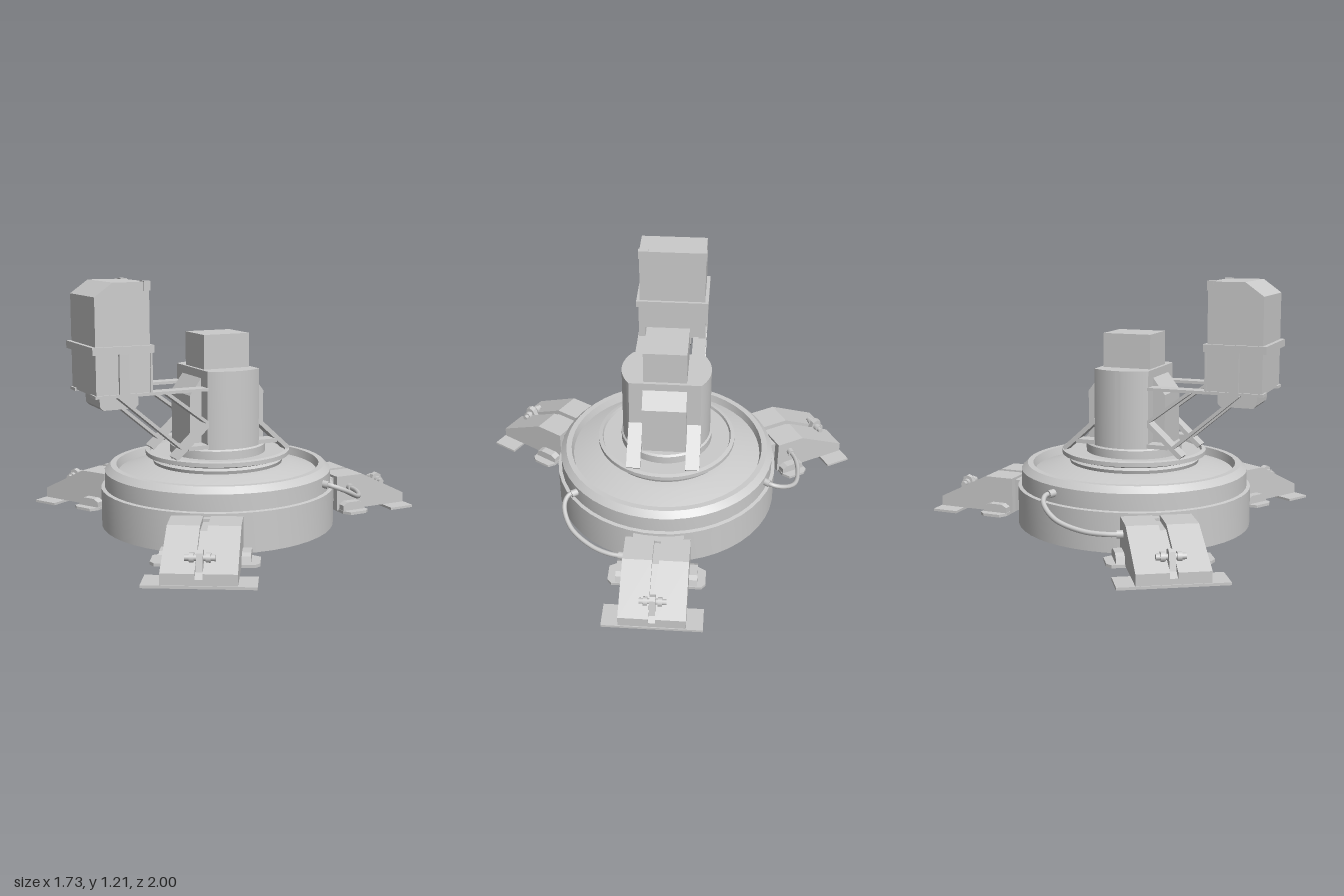
import * as THREE from 'three';
import { toCreasedNormals } from 'three/addons/utils/BufferGeometryUtils.js';

const CX = -0.152; // axis of the round base
const grey = new THREE.MeshStandardMaterial({ color: 0xcccccc, side: THREE.DoubleSide });

function add(parent, name, geo, x = 0, y = 0, z = 0) {
  const mesh = new THREE.Mesh(geo, grey);
  mesh.name = name;
  mesh.position.set(x, y, z);
  parent.add(mesh);
  return mesh;
}

// box given by its limits
function box(parent, name, x0, x1, y0, y1, z0, z1) {
  return add(parent, name, new THREE.BoxGeometry(x1 - x0, y1 - y0, z1 - z0),
    (x0 + x1) / 2, (y0 + y1) / 2, (z0 + z1) / 2);
}

// side profile in x/y, extruded from z0 to z1
function slab(parent, name, points, z0, z1) {
  const shape = new THREE.Shape(points.map(p => new THREE.Vector2(...p)));
  const geo = new THREE.ExtrudeGeometry(shape, { depth: z1 - z0, bevelEnabled: false });
  return add(parent, name, geo, 0, 0, z0);
}

// flat bar between two points in x/y
function bar(parent, name, a, b, thick, z0, z1) {
  const dx = b[0] - a[0], dy = b[1] - a[1];
  const mesh = add(parent, name, new THREE.BoxGeometry(Math.hypot(dx, dy), thick, z1 - z0),
    (a[0] + b[0]) / 2, (a[1] + b[1]) / 2, (z0 + z1) / 2);
  mesh.rotation.z = Math.atan2(dy, dx);
}

function lathe(parent, name, points) {
  const geo = new THREE.LatheGeometry(points.map(p => new THREE.Vector2(...p)), 48);
  return add(parent, name, toCreasedNormals(geo, 0.4));
}

function buildBase() {
  const g = new THREE.Group();
  g.name = 'base';
  // hollow drum with stepped wall, rim and sloping deck
  lathe(g, 'drumShell', [[0.565, 0.005], [0.575, 0.005], [0.575, 0.192], [0.557, 0.195], [0.557, 0.275],
    [0.528, 0.304], [0.5, 0.304], [0.49, 0.265], [0.36, 0.305], [0.32, 0.31]]);
  lathe(g, 'drumLining', [[0.565, 0.005], [0.565, 0.185], [0.545, 0.19], [0.545, 0.265], [0.49, 0.265]]);
  // turntable on a flared neck
  lathe(g, 'turntable', [[0, 0.335], [0.29, 0.335], [0.29, 0.305], [0.315, 0.305], [0.322, 0.325], [0.305, 0.335],
    [0.34, 0.345], [0.355, 0.35], [0.355, 0.37], [0.335, 0.374], [0.33, 0.36], [0, 0.36]]);
  lathe(g, 'towerFoot', [[0.235, 0.36], [0.235, 0.4], [0.225, 0.408], [0, 0.408]]);
  return g;
}

function buildTower() {
  const g = new THREE.Group();
  g.name = 'tower';
  // round column with its two sides cut flat
  const r = 0.226, cut = 0.137, a = Math.acos(cut / r);
  const shape = new THREE.Shape();
  shape.absarc(0, 0, r, a, Math.PI - a);
  shape.absarc(0, 0, r, Math.PI + a, 2 * Math.PI - a);
  shape.closePath();
  const geo = new THREE.ExtrudeGeometry(shape, { depth: 0.4, bevelEnabled: false, curveSegments: 16 });
  geo.rotateX(-Math.PI / 2);
  add(g, 'column', toCreasedNormals(geo, 0.4), 0, 0.38, 0);
  box(g, 'headBlock', -0.12, 0.12, 0.7, 0.945, -0.108, 0.108);
  // sloped housings on both flat sides
  slab(g, 'sideHousing', [[-0.197, 0.37], [0.197, 0.37], [0.197, 0.66], [0.13, 0.75], [-0.13, 0.75], [-0.197, 0.66]],
    -0.11, 0.11);
  // sloped braces down to the turntable
  for (const sx of [-1, 1]) for (const z of [-0.183, 0.113]) {
    bar(g, 'towerBrace', [0.13 * sx, 0.53], [0.3 * sx, 0.375], 0.022, z, z + 0.07);
    bar(g, 'braceFoot', [0.13 * sx, 0.42], [0.235 * sx, 0.42], 0.02, z, z + 0.07);
  }
  return g;
}

function buildPod() {
  const g = new THREE.Group();
  g.name = 'pod';
  slab(g, 'podBody', [[-0.832, 0.695], [-0.572, 0.695], [-0.572, 1.205], [-0.745, 1.205], [-0.832, 1.142]], -0.172, 0.172);
  box(g, 'podCollar', -0.852, -0.557, 0.885, 0.92, -0.19, 0.19);
  slab(g, 'podUnderside', [[-0.795, 0.695], [-0.79, 0.635], [-0.775, 0.62], [-0.62, 0.62], [-0.605, 0.635], [-0.605, 0.695]],
    -0.1, 0.1);
  for (const s of [-1, 1]) {
    box(g, 'podUpright', -0.725, -0.68, 0.68, 0.89, s * 0.178 - 0.008, s * 0.178 + 0.008);
    box(g, 'podCornerClip', -0.598, -0.567, 1.165, 1.209, s * 0.15 - 0.027, s * 0.15 + 0.027);
    box(g, 'podEndStrip', -0.572, -0.562, 0.69, 0.89, s * 0.16 - 0.018, s * 0.16 + 0.018);
  }
  // arms carrying the pod
  for (const z of [-0.183, 0.113]) {
    bar(g, 'podArm', [-0.84, 0.695], [-0.285, 0.695], 0.014, z, z + 0.07);
    bar(g, 'longStrut', [-0.725, 0.69], [-0.4, 0.41], 0.015, z, z + 0.07);
    bar(g, 'shortStrut', [-0.49, 0.69], [-0.285, 0.535], 0.015, z, z + 0.07);
  }
  return g;
}

// one outrigger, pointing along +x from the base axis
function buildLeg() {
  const g = new THREE.Group();
  g.name = 'outrigger';
  const profile = drop => [[0.6, 0.012], [0.6, 0.19 - drop], [0.752, 0.19 - drop],
    [1.01, 0.062 - drop], [1.01, 0.012]];
  slab(g, 'legHalf', profile(0), 0.017, 0.16);
  slab(g, 'legHalf', profile(0), -0.16, -0.017);
  slab(g, 'legSlot', profile(0.025), -0.017, 0.017);
  box(g, 'legNeck', 0.555, 0.61, 0.02, 0.178, -0.125, 0.125);
  // pivot lug and pin
  slab(g, 'pivotLug', [[0.89, 0.06], [0.92, 0.135], [0.945, 0.145], [0.965, 0.135], [0.985, 0.06]], -0.014, 0.014);
  const pin = add(g, 'pivotPin', new THREE.CylinderGeometry(0.014, 0.014, 0.13, 12), 0.938, 0.108, 0);
  pin.rotation.x = Math.PI / 2;
  for (const s of [-1, 1]) {
    const collar = add(g, 'pinCollar', new THREE.CylinderGeometry(0.022, 0.022, 0.02, 12), 0.938, 0.108, s * 0.035);
    collar.rotation.x = Math.PI / 2;
  }
  // foot pads, the inner one with clipped corners
  box(g, 'outerPad', 0.882, 1.015, 0, 0.012, -0.24, 0.24);
  const pad = new THREE.Shape([[0.612, -0.2], [0.635, -0.24], [0.725, -0.24], [0.75, -0.22],
    [0.75, 0.22], [0.725, 0.24], [0.635, 0.24], [0.612, 0.2]].map(p => new THREE.Vector2(...p)));
  const padGeo = new THREE.ExtrudeGeometry(pad, { depth: 0.014, bevelEnabled: false });
  padGeo.rotateX(-Math.PI / 2);
  add(g, 'innerPad', padGeo, 0, 0.004, 0);
  slab(g, 'innerPadBracket', [[0.615, 0.015], [0.745, 0.015], [0.735, 0.05], [0.71, 0.06], [0.64, 0.06], [0.615, 0.045]],
    -0.2, 0.2);
  return g;
}

// hose from the drum wall to the side of an outrigger
function buildHose() {
  const g = new THREE.Group();
  g.name = 'hose';
  const points = [[0.345, 0.242, 0.425], [0.372, 0.238, 0.47], [0.43, 0.215, 0.485], [0.53, 0.165, 0.44],
    [0.62, 0.135, 0.33], [0.665, 0.13, 0.23], [0.675, 0.13, 0.15]].map(p => new THREE.Vector3(...p));
  add(g, 'hoseTube', new THREE.TubeGeometry(new THREE.CatmullRomCurve3(points), 40, 0.012, 10));
  const ends = [[0, 1], [6, 5]];
  for (const [i, j] of ends) {
    const dir = points[j].clone().sub(points[i]).normalize();
    const fit = add(g, 'hoseFitting', new THREE.CylinderGeometry(0.019, 0.019, 0.04, 12));
    fit.position.copy(points[i]).addScaledVector(dir, 0.018);
    fit.quaternion.setFromUnitVectors(new THREE.Vector3(0, 1, 0), dir);
  }
  return g;
}

export function createModel() {
  const model = new THREE.Group();
  model.name = 'launcher';
  const round = new THREE.Group();
  round.name = 'roundAssembly';
  round.position.x = CX;
  round.add(buildBase(), buildTower());
  // three outriggers, two of them fed by hoses
  for (let i = 0; i < 3; i++) {
    const leg = buildLeg();
    leg.rotation.y = i * 2 * Math.PI / 3;
    round.add(leg);
    if (i < 2) {
      const hose = buildHose();
      hose.rotation.y = i * 2 * Math.PI / 3;
      round.add(hose);
    }
  }
  model.add(round, buildPod());
  return model;
}
